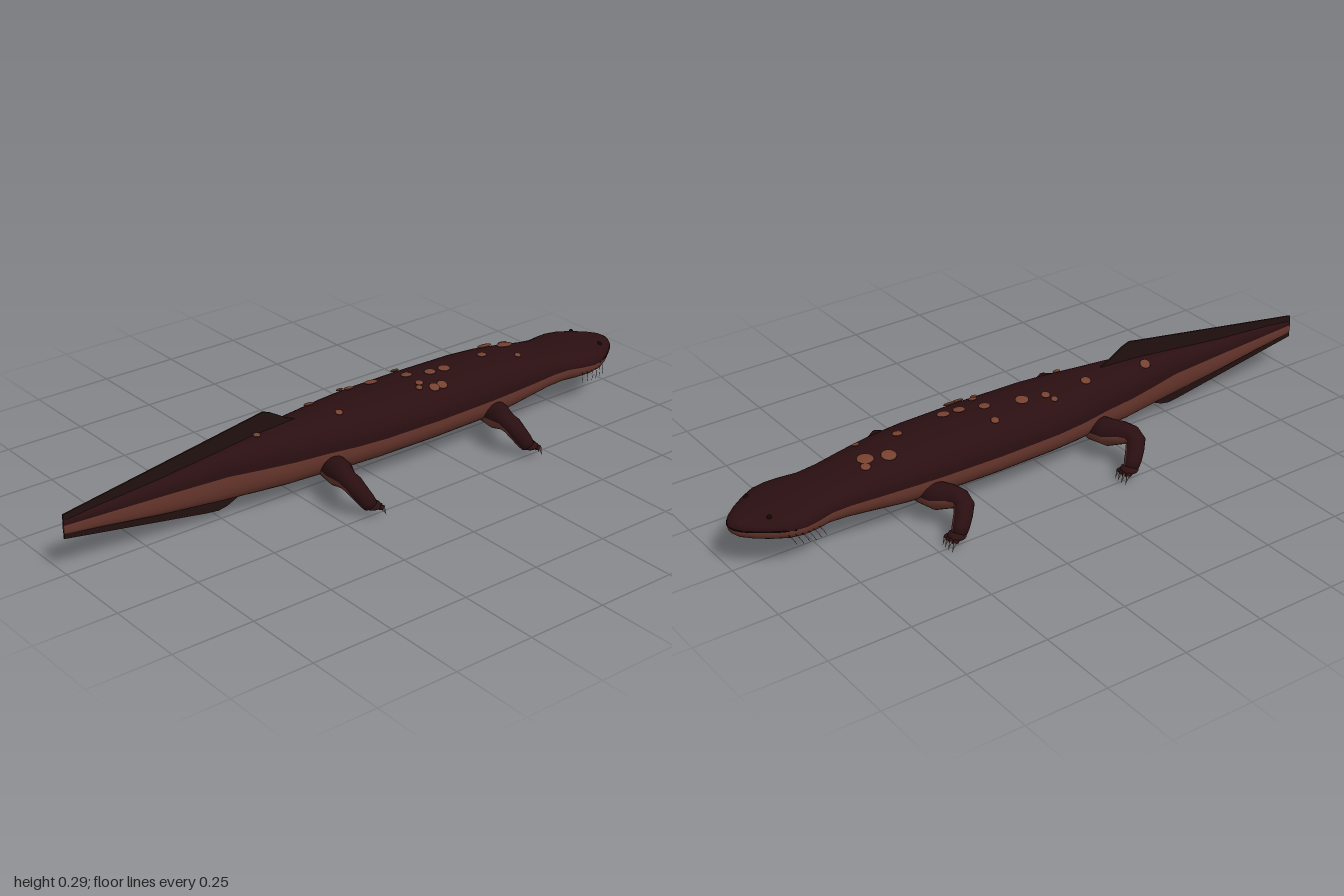
import * as THREE from 'three';

const mat = (name, color, side = THREE.FrontSide) => {
  const m = new THREE.MeshStandardMaterial({ color, side });
  m.name = name;
  return m;
};

// Body stations from tail tip to snout: z, half width, top, middle, bottom
const STATIONS = [
  [1, 0.004, 0.165, 0.15, 0.122], [0.9, 0.012, 0.175, 0.15, 0.11], [0.7, 0.028, 0.19, 0.15, 0.082],
  [0.5, 0.043, 0.212, 0.148, 0.06], [0.4, 0.064, 0.223, 0.146, 0.055], [0.3, 0.084, 0.23, 0.145, 0.051],
  [0.2, 0.096, 0.235, 0.144, 0.05], [0.1, 0.115, 0.238, 0.144, 0.05], [0, 0.126, 0.24, 0.144, 0.05],
  [-0.2, 0.131, 0.24, 0.144, 0.05], [-0.4, 0.127, 0.238, 0.144, 0.051], [-0.5, 0.121, 0.232, 0.144, 0.056],
  [-0.6, 0.112, 0.218, 0.143, 0.068], [-0.68, 0.103, 0.204, 0.142, 0.076], [-0.74, 0.103, 0.195, 0.141, 0.08],
  [-0.79, 0.116, 0.191, 0.14, 0.082], [-0.83, 0.122, 0.188, 0.139, 0.085], [-0.87, 0.117, 0.184, 0.139, 0.089],
  [-0.91, 0.096, 0.178, 0.139, 0.094], [-0.95, 0.068, 0.171, 0.139, 0.101], [-0.98, 0.042, 0.162, 0.139, 0.11],
  [-0.995, 0.02, 0.153, 0.139, 0.121], [-1, 0.001, 0.14, 0.139, 0.138],
];
const E = 0.86; // below 1 gives fuller sections

function stationAt(z) {
  const i = Math.max(1, STATIONS.findIndex((s) => s[0] <= z));
  const a = STATIONS[i - 1], b = STATIONS[i], t = (z - a[0]) / (b[0] - a[0]);
  return a.map((v, k) => v + (b[k] - v) * t);
}

function sectionPoint([z, w, top, mid, bot], angle) {
  const c = Math.cos(angle), s = Math.sin(angle);
  const h = s > 0 ? top - mid : mid - bot;
  return new THREE.Vector3(
    Math.sign(c) * w * Math.abs(c) ** E, mid + Math.sign(s) * h * Math.abs(s) ** E, z);
}

// Closed skin over rings; group 0 is the upper half, group 1 the underside
function loft(rings) {
  const n = rings[0].length, half = [[], []];
  for (let i = 0; i < rings.length - 1; i++) {
    for (let j = 0; j < n; j++) {
      const a = i * n + j, b = i * n + (j + 1) % n;
      half[j < n / 2 ? 0 : 1].push(a, a + n, b, b, a + n, b + n);
    }
  }
  const g = new THREE.BufferGeometry();
  g.setAttribute('position', new THREE.Float32BufferAttribute(
    rings.flat().flatMap((p) => p.toArray()), 3));
  g.setIndex([...half[0], ...half[1]]);
  g.addGroup(0, half[0].length, 0);
  g.addGroup(half[0].length, half[1].length, 1);
  g.computeVertexNormals();
  return g;
}

// Leg path for the left front limb: x, y, z, radius
const LEG = [
  [0.06, 0.09, -0.435, 0.001], [0.07, 0.09, -0.433, 0.04], [0.13, 0.093, -0.42, 0.041],
  [0.17, 0.104, -0.402, 0.034], [0.2, 0.107, -0.393, 0.029], [0.222, 0.1, -0.396, 0.029],
  [0.234, 0.078, -0.408, 0.027], [0.245, 0.052, -0.424, 0.025], [0.25, 0.036, -0.434, 0.022],
  [0.251, 0.032, -0.436, 0.001],
];

function legGeometry(side) {
  const pts = LEG.map(([x, y, z]) => new THREE.Vector3(side * x, y, z));
  return loft(pts.map((p, i) => {
    const t = pts[Math.min(i + 1, pts.length - 1)].clone().sub(pts[Math.max(i - 1, 0)]).normalize();
    const across = new THREE.Vector3(0, 0, side).addScaledVector(t, -side * t.z).normalize();
    const up = across.clone().cross(t);
    return Array.from({ length: 20 }, (_, j) => {
      const a = j / 20 * Math.PI * 2, r = LEG[i][3];
      return p.clone().addScaledVector(across, r * Math.cos(a)).addScaledVector(up, r * Math.sin(a));
    });
  }));
}

// Back spots: x, z, radius
const SPOTS = [
  [-0.03, -0.59, 0.023], [-0.055, -0.53, 0.021], [-0.055, -0.605, 0.014], [0.05, -0.57, 0.01],
  [0.01, -0.46, 0.014], [0.02, -0.3, 0.018], [0.015, -0.25, 0.017], [0.08, -0.24, 0.016],
  [0.08, -0.21, 0.016], [-0.075, -0.19, 0.012], [-0.01, -0.18, 0.016], [0.048, -0.18, 0.012],
  [0.065, -0.165, 0.01], [-0.038, -0.07, 0.019], [-0.05, 0.005, 0.013], [-0.072, 0.02, 0.01],
  [-0.043, 0.155, 0.015], [0.05, 0.12, 0.011], [-0.038, 0.38, 0.016], [0.012, 0.38, 0.01],
];

export function createModel() {
  const root = new THREE.Group();
  root.name = 'salamander';
  const back = mat('dark back', 0x2a0f11);
  const belly = mat('pale belly', 0x68372d);
  const spot = mat('spot', 0x75402f);
  const finMat = mat('fin', 0x221010);
  const claw = mat('claw', 0x857872);
  const dark = mat('eye and mouth', 0x120607);

  const add = (name, geometry, material, parent = root) => {
    const m = new THREE.Mesh(geometry, material);
    m.name = name;
    parent.add(m);
    return m;
  };
  const tube = (pts, r, seg = 12) =>
    new THREE.TubeGeometry(new THREE.CatmullRomCurve3(pts), seg, r, 5);

  // Body, head and tail in one skin
  const rings = STATIONS.map((s) =>
    Array.from({ length: 40 }, (_, j) => sectionPoint(s, j / 40 * Math.PI * 2)));
  const cap = Array.from({ length: 40 }, () => new THREE.Vector3(0, 0.145, 1));
  add('body', loft([cap, ...rings]), [back, belly]);

  // Tail fins
  const fin = (name, pts) => {
    const shape = new THREE.Shape(pts.map(([z, y]) => new THREE.Vector2(z, y)));
    const g = new THREE.ExtrudeGeometry(shape, { depth: 0.005, bevelEnabled: false });
    g.translate(0, 0, -0.0025).rotateY(-Math.PI / 2);
    add(name, g, finMat);
  };
  fin('upperTailFin', [[0.22, 0.18], [1, 0.155], [1, 0.182], [0.385, 0.28], [0.35, 0.286],
    [0.325, 0.277], [0.27, 0.245], [0.22, 0.225]]);
  fin('lowerTailFin', [[0.38, 0.1], [0.38, 0.062], [0.43, 0.056], [0.48, 0.034], [0.51, 0.029],
    [0.55, 0.034], [1, 0.11], [1, 0.13]]);

  // Raised spots lying along the back
  SPOTS.forEach(([x, z, r]) => {
    const s = stationAt(z), a = Math.acos(Math.sign(x) * Math.min(1, Math.abs(x) / s[1]) ** (1 / E));
    const p = sectionPoint(s, a);
    const n = new THREE.Vector3(Math.cos(a) / s[1], Math.sin(a) / (s[2] - s[3]), 0).normalize();
    const m = add('backSpot', new THREE.SphereGeometry(1, 14, 8), spot);
    m.scale.set(r, 0.004, r * 1.1);
    m.position.copy(p).addScaledVector(n, 0.005);
    m.quaternion.setFromUnitVectors(new THREE.Vector3(0, 1, 0), n);
  });

  // Mouth line around the snout
  const lip = [-0.86, -0.9, -0.94, -0.975, -0.995].map((z) => sectionPoint(stationAt(z), 0));
  const lipRight = lip.map((p) => new THREE.Vector3(-p.x, p.y, p.z)).reverse();
  add('mouth', tube([...lip, new THREE.Vector3(0, 0.139, -0.999), ...lipRight], 0.002, 40), dark);

  for (const side of [1, -1]) {
    // Eyes and fine cheek filaments
    const eye = add('eye', new THREE.SphereGeometry(0.007, 12, 8), dark);
    eye.position.copy(sectionPoint(stationAt(-0.91), side > 0 ? 0.9 : Math.PI - 0.9));
    for (let i = 0; i < 6; i++) {
      const z = -0.88 + i * 0.018, p = sectionPoint(stationAt(z), side > 0 ? -0.25 : Math.PI + 0.25);
      add('cheekFilament', tube([p, p.clone().add(new THREE.Vector3(side * 0.01, -0.008, 0.006)),
        p.clone().add(new THREE.Vector3(side * 0.016, -0.024, 0.014))], 0.0006, 5), dark);
    }

    // Front and hind legs
    for (const [name, dz] of [['frontLeg', 0], ['hindLeg', 0.6]]) {
      const leg = new THREE.Group();
      leg.name = name;
      leg.position.z = dz;
      root.add(leg);
      add('limb', legGeometry(side), [back, belly], leg);
      const foot = add('foot', new THREE.SphereGeometry(1, 18, 10), back, leg);
      foot.scale.set(0.028, 0.012, 0.026);
      foot.position.set(side * 0.25, 0.034, -0.44);
      for (let i = 0; i < 4; i++) {
        const x = 0.23 + i * 0.0135, z = -0.456 - 0.005 * Math.sin((i + 0.5) / 4 * Math.PI);
        const toe = add('toe', new THREE.SphereGeometry(1, 10, 8), back, leg);
        toe.scale.set(0.006, 0.007, 0.012);
        toe.position.set(side * x, 0.028, z);
        const nail = add('claw', new THREE.ConeGeometry(0.0045, 0.03, 8), claw, leg);
        nail.position.set(side * (x + (i - 1.5) * 0.002), 0.0145, z - 0.01);
        nail.rotation.set(Math.PI + 0.35, 0, 0);
      }
    }
  }
  return root;
}
